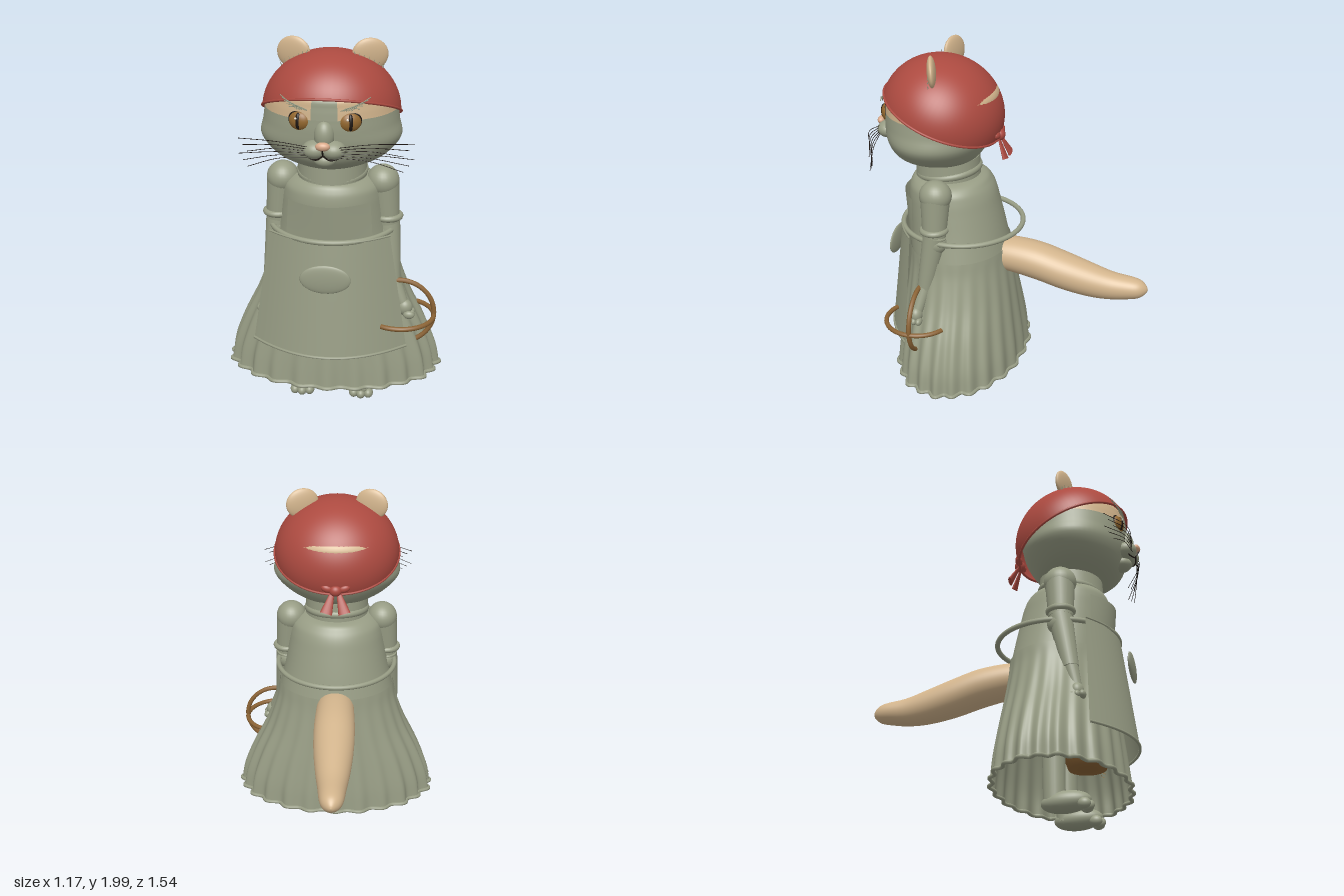
import * as THREE from 'three';

const mat = (name, color, side = THREE.FrontSide) => {
  const m = new THREE.MeshStandardMaterial({ color, side });
  m.name = name;
  return m;
};
const V = (x, y, z) => new THREE.Vector3(x, y, z);

// Smooth skin over elliptical rings [y, halfX, centreZ, halfZ], indexed column by column
function loft(rings, segs = 48, rows = 32, ripple = () => 1) {
  const spline = new THREE.CubicInterpolant(rings.map((r, i) => i), rings.flat(), 4);
  const pos = [], index = [];
  for (let j = 0; j <= rows; j++) {
    const [y, hx, cz, hz] = spline.evaluate((j / rows) * (rings.length - 1));
    for (let i = 0; i < segs; i++) {
      const a = (i / segs) * Math.PI * 2, k = ripple(a, j / rows);
      pos.push(hx * k * Math.sin(a), y, cz + hz * k * Math.cos(a));
    }
  }
  for (let i = 0; i < segs; i++) {
    for (let j = 0; j < rows; j++) {
      const a = j * segs + i, b = j * segs + (i + 1) % segs;
      index.push(a, b, a + segs, b, b + segs, a + segs);
    }
  }
  const g = new THREE.BufferGeometry();
  g.setAttribute('position', new THREE.Float32BufferAttribute(pos, 3));
  g.setIndex(index);
  g.computeVertexNormals();
  return g;
}

// Curved cloth panel from bottom to top: [y, halfWidth, middleZ, edgeZ]
const panelPoint = (lo, hi, u, t) => {
  const [y, w, zm, ze] = lo.map((v, i) => v + (hi[i] - v) * t);
  return V(u * w, y, zm + (ze - zm) * u * u);
};
function panel(lo, hi) {
  const g = new THREE.PlaneGeometry(2, 1, 28, 8), p = g.attributes.position;
  for (let i = 0; i < p.count; i++) {
    const q = panelPoint(lo, hi, p.getX(i), p.getY(i) + 0.5);
    p.setXYZ(i, q.x, q.y, q.z);
  }
  g.computeVertexNormals();
  return g;
}

export function createModel() {
  const model = new THREE.Group();
  model.name = 'aproned cat';
  const sage = mat('sage', 0x989d85), sageCloth = mat('sage cloth', 0x989d85, THREE.DoubleSide);
  const tan = mat('tan fur', 0xd2b48c), red = mat('red scarf', 0xac4a40, THREE.DoubleSide);
  const brown = mat('wicker brown', 0x8b6335, THREE.DoubleSide), amber = mat('amber', 0x94682f);
  const dark = mat('dark', 0x1e1713), nosePink = mat('nose pink', 0xd8a888);
  const light = mat('eye glint', 0xf2ece0);

  const add = (name, geo, material, p = [0, 0, 0], r = [0, 0, 0], s = [1, 1, 1], parent = model) => {
    const m = new THREE.Mesh(geo, material);
    m.name = name;
    m.position.set(...p);
    m.rotation.set(...r);
    m.scale.set(...s);
    parent.add(m);
    return m;
  };
  const ball = (name, material, p, s, r) => add(name, new THREE.SphereGeometry(1, 28, 18), material, p, r, s);
  const tube = (name, material, pts, radius, closed = false, n = 16) =>
    add(name, new THREE.TubeGeometry(new THREE.CatmullRomCurve3(pts, closed), n, radius, 6, closed), material);
  const limb = (name, material, a, b, ra, rb) => {
    const d = b.clone().sub(a);
    const m = add(name, new THREE.CylinderGeometry(rb, ra, d.length(), 24), material, a.clone().addScaledVector(d, 0.5).toArray());
    m.quaternion.setFromUnitVectors(V(0, 1, 0), d.normalize());
  };

  // Skirt with folds that deepen towards the hem
  const fold = (a, t) => 1 + (1 - t) * (0.028 * Math.cos(24 * a) + 0.008 * Math.cos(11 * a + 1));
  add('skirt', loft([[0.18, 0.56, 0.295, 0.352], [0.3, 0.54, 0.295, 0.342], [0.45, 0.485, 0.297, 0.325],
    [0.62, 0.405, 0.3, 0.305], [0.78, 0.35, 0.303, 0.285], [0.88, 0.33, 0.305, 0.277]], 240, 24, fold), sageCloth);
  const hem = [];
  for (let i = 0; i < 192; i++) {
    const a = (i / 192) * Math.PI * 2, k = fold(a, 0);
    hem.push(V(0.562 * k * Math.sin(a), 0.18, 0.295 + 0.354 * k * Math.cos(a)));
  }
  tube('skirtHem', sage, hem, 0.011, true, 384);

  // Bodice, neck and collar
  add('bodice', loft([[0.86, 0.325, 0.305, 0.275], [1.0, 0.295, 0.32, 0.262], [1.12, 0.275, 0.335, 0.25],
    [1.2, 0.262, 0.345, 0.24], [1.25, 0.245, 0.352, 0.222], [1.285, 0.19, 0.355, 0.19], [1.3, 0.1, 0.36, 0.1]]), sage);
  add('neck', new THREE.CylinderGeometry(0.175, 0.18, 0.14, 40), sage, [0, 1.33, 0.37]);
  add('collar', new THREE.TorusGeometry(0.163, 0.022, 12, 48), sage, [0, 1.312, 0.365], [Math.PI / 2 + 0.13, 0, 0]);
  add('waistRing', new THREE.TorusGeometry(0.335, 0.014, 12, 64), sage, [0, 1.003, 0.29], [Math.PI / 2, 0, 0]);

  // Apron with bib, hem and oval badge
  const lo = [0.39, 0.405, 0.705, 0.52], hi = [1.005, 0.31, 0.63, 0.5];
  add('apron', panel(lo, hi), sageCloth);
  add('bib', panel([1.0, 0.222, 0.595, 0.515], [1.19, 0.21, 0.615, 0.515]), sageCloth);
  const rim = (t) => Array.from({ length: 13 }, (_, i) => panelPoint(lo, hi, i / 6 - 1, t));
  tube('apronHem', sage, rim(0), 0.008, false, 32);
  tube('apronTopEdge', sage, rim(1), 0.006, false, 32);
  ball('ovalBadge', sage, [0, 0.83, 0.69], [0.13, 0.077, 0.015]);

  // Tail, running straight back
  add('tail', loft([[-0.12, 0.1, 0.825, 0.09], [0.0, 0.108, 0.82, 0.1], [0.15, 0.114, 0.797, 0.107],
    [0.3, 0.11, 0.755, 0.106], [0.45, 0.095, 0.718, 0.095], [0.57, 0.078, 0.699, 0.078],
    [0.68, 0.066, 0.7, 0.062], [0.73, 0.05, 0.7, 0.048], [0.76, 0.022, 0.7, 0.022], [0.77, 0.001, 0.7, 0.001]]),
  tan, [0, 0, 0], [-Math.PI / 2, 0, 0]);

  // Basket bowl and its two half hoops
  add('basketBowl', new THREE.LatheGeometry([[0, 0.28], [0.1, 0.28], [0.13, 0.36], [0.145, 0.46]].map(
    ([x, y]) => new THREE.Vector2(x, y)), 32), brown, [0, 0, 0.43]);
  const hoop = () => new THREE.TorusGeometry(0.18, 0.013, 10, 40, Math.PI).rotateZ(-1.08);
  add('uprightHoop', hoop(), brown, [0.365, 0.55, 0.44]);
  add('levelHoop', hoop().rotateX(Math.PI / 2), brown, [0.365, 0.537, 0.445]);

  // Arms, legs and feet
  for (const s of [1, -1]) {
    const side = s > 0 ? 'left' : 'right';
    const hx = s > 0 ? 0.4 : 0.35;
    ball(side + 'Shoulder', sage, [s * 0.26, 1.255, 0.36], [0.085, 0.085, 0.088]);
    limb(side + 'Sleeve', sage, V(s * 0.265, 1.24, 0.36), V(s * 0.285, 1.03, 0.365), 0.08, 0.066);
    add(side + 'Cuff', new THREE.TorusGeometry(0.064, 0.017, 10, 32), sage, [s * 0.288, 1.065, 0.365], [Math.PI / 2, 0, 0]);
    ball(side + 'Elbow', sage, [s * 0.287, 0.99, 0.362], [0.066, 0.07, 0.07]);
    limb(side + 'Forearm', sage, V(s * 0.287, 1.03, 0.362), V(s * 0.32, 0.72, 0.415), 0.066, 0.045);
    limb(side + 'Wrist', sage, V(s * 0.32, 0.74, 0.415), V(s * (hx - 0.02), 0.6, 0.445), 0.04, 0.03);
    ball(side + 'Paw', sage, [s * (hx - 0.01), 0.58, 0.45], [0.042, 0.045, 0.036]);
    for (let i = -1; i <= 1; i++)
      ball(side + 'Finger', sage, [s * (hx + 0.015), 0.55, 0.455 + i * 0.027], [0.03, 0.022, 0.018]);

    limb(side + 'Leg', sage, V(s * 0.16, 0.05, 0.285), V(s * 0.16, 0.6, 0.285), 0.057, 0.062);
    ball(side + 'Foot', sage, [s * 0.162, 0.064, 0.345], [0.07, 0.057, 0.13], [-0.06, 0, 0]);
    for (let i = -1; i <= 1; i++)
      ball(side + 'Toe', sage, [s * 0.162 + i * 0.04, 0.042, 0.455 - Math.abs(i) * 0.012], [0.026, 0.028, 0.034]);
  }

  // Head: grey lower face, tan brow with a grey middle stripe
  add('lowerHead', loft([[1.345, 0.002, 0.4, 0.002], [1.355, 0.08, 0.4, 0.1], [1.39, 0.2, 0.405, 0.19],
    [1.44, 0.29, 0.412, 0.245], [1.52, 0.354, 0.405, 0.283], [1.6, 0.343, 0.4, 0.298], [1.665, 0.335, 0.393, 0.305]], 64), sage);
  const brow = loft([[1.665, 0.335, 0.393, 0.305], [1.72, 0.325, 0.391, 0.302], [1.77, 0.298, 0.39, 0.29],
    [1.83, 0.22, 0.385, 0.2], [1.87, 0.05, 0.38, 0.05]], 64, 16);
  const col = 16 * 6;
  brow.addGroup(0, 2 * col, 0);
  brow.addGroup(2 * col, 60 * col, 1);
  brow.addGroup(62 * col, 2 * col, 0);
  add('upperHead', brow, [sage, tan]);

  // Muzzle, nose and mouth
  ball('chin', sage, [0, 1.463, 0.663], [0.058, 0.04, 0.055]);
  ball('noseBridge', sage, [0, 1.59, 0.685], [0.05, 0.075, 0.05]);
  add('nose', new THREE.SphereGeometry(1, 20, 14), nosePink, [0, 1.553, 0.748], [0, 0, 0], [0.036, 0.022, 0.022]);
  tube('mouthMiddle', dark, [V(0, 1.54, 0.762), V(0, 1.525, 0.755), V(0, 1.5, 0.738)], 0.004);

  for (const s of [1, -1]) {
    const side = s > 0 ? 'left' : 'right';
    ball(side + 'Muzzle', sage, [s * 0.045, 1.522, 0.695], [0.062, 0.046, 0.06]);
    tube(side + 'Mouth', dark, [V(0, 1.505, 0.742), V(s * 0.03, 1.483, 0.737), V(s * 0.07, 1.485, 0.715), V(s * 0.09, 1.5, 0.705)], 0.004);

    // Eye: dark lid, amber iris, slit pupil and glint
    const turn = s * 0.3;
    ball(side + 'EyeRim', dark, [s * 0.12, 1.655, 0.655], [0.064, 0.058, 0.03], [0, turn, s * 0.12]);
    ball(side + 'Iris', amber, [s * 0.121, 1.654, 0.66], [0.056, 0.05, 0.036], [0, turn, 0]);
    ball(side + 'Pupil', dark, [s * 0.125, 1.655, 0.679], [0.016, 0.042, 0.019], [0, turn, 0]);
    ball(side + 'Glint', light, [s * 0.125 - 0.012, 1.672, 0.695], [0.006, 0.006, 0.004]);

    // Brow hairs and whiskers
    for (let i = 0; i < 5; i++)
      tube(side + 'BrowHair', sage, [V(s * (0.08 + i * 0.012), 1.715, 0.697 - i * 0.003), V(s * (0.12 + i * 0.015), 1.732 + i * 0.005, 0.695 - i * 0.007),
        V(s * (0.17 + i * 0.012), 1.725 + i * 0.012, 0.68 - i * 0.01)], 0.0022, false, 6);
    for (let i = 0; i < 6; i++) {
      const y = 1.545 - i * 0.01, e = 1.565 - i * 0.026;
      tube(side + 'Whisker', dark, [V(s * 0.075, y, 0.735), V(s * 0.22, (y + e) / 2 + 0.012, 0.735 - i * 0.004),
        V(s * (0.43 - (i % 3) * 0.025), e - 0.02, 0.635 + (i % 3) * 0.02)], 0.0016, false, 12);
    }

    // Round ear with tufts at its base
    ball(side + 'Ear', tan, [s * 0.19, 1.918, 0.383], [0.092, 0.083, 0.024], [0.06, s * 0.3, s * -0.2]);
    for (let i = 0; i < 7; i++) {
      const x = 0.12 + i * 0.022;
      add(side + 'EarTuft', new THREE.ConeGeometry(0.006, 0.05, 5), sage,
        [s * x, 1.925 - i * 0.012, 0.43 - i * 0.008], [0.1, 0, s * (0.3 - i * 0.12)]);
    }
  }

  // Tied head scarf with rolled rim, knot and two ends
  const scarf = new THREE.Group();
  scarf.name = 'headScarf';
  scarf.position.set(0, 1.64, 0.39);
  scarf.rotation.x = -0.398;
  scarf.scale.set(0.348, 0.302, 0.334);
  model.add(scarf);
  add('scarfDome', new THREE.SphereGeometry(1, 64, 28, 0, Math.PI * 2, 0, Math.PI / 2), red, undefined, undefined, undefined, scarf);
  add('scarfRim', new THREE.TorusGeometry(1, 0.022, 8, 72), red, undefined, [Math.PI / 2, 0, 0], undefined, scarf);
  ball('scarfKnot', red, [0, 1.535, 0.075], [0.035, 0.032, 0.03]);
  for (const s of [1, -1]) {
    ball('scarfBow', red, [s * 0.045, 1.545, 0.08], [0.035, 0.022, 0.02], [0, 0, s * 0.3]);
    const end = new THREE.CylinderGeometry(0.01, 0.034, 0.13, 16).scale(1, 1, 0.35);
    add('scarfEnd', end, red, [s * 0.032, 1.475, 0.055], [0.42, 0, s * 0.28]);
  }
  return model;
}
